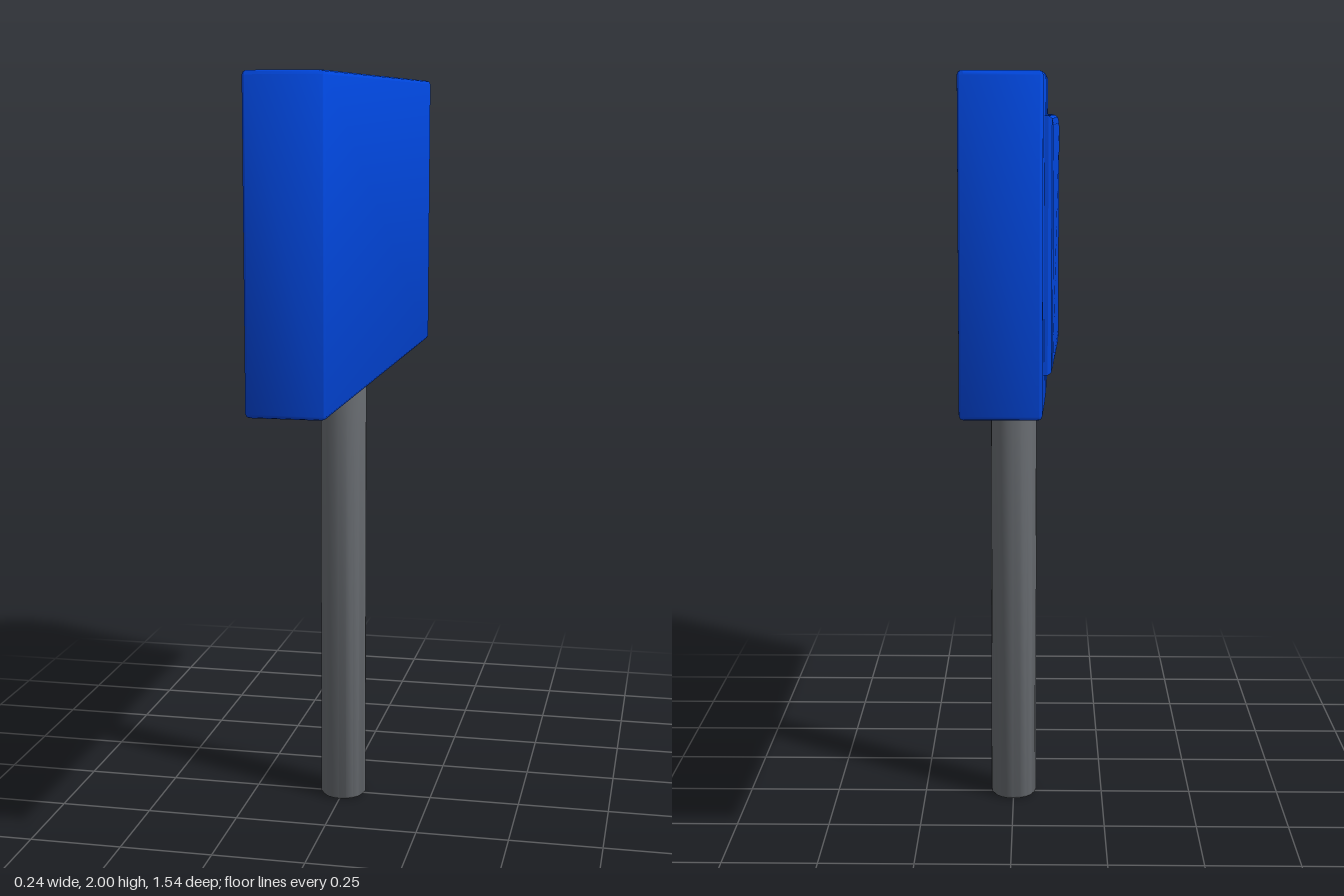
import * as THREE from 'three';
import { toCreasedNormals } from 'three/addons/utils/BufferGeometryUtils.js';

const blue = new THREE.MeshStandardMaterial({ name: 'signBlue', color: 0x0047df });
const grey = new THREE.MeshStandardMaterial({ name: 'postGrey', color: 0x6b6f74 });

function add(group, name, geometry, material) {
  const mesh = new THREE.Mesh(geometry, material);
  mesh.name = name;
  group.add(mesh);
  return mesh;
}

// Thick sign board: plan outline with softened corners and a slightly bowed -x face
function boardGeometry() {
  const r = 0.015, x0 = -0.078, x1 = 0.115, z = 0.77;
  const plan = new THREE.Shape();
  plan.moveTo(x0 + r, -z);
  plan.lineTo(x1 - r, -z);
  plan.quadraticCurveTo(x1, -z, x1, -z + r);
  plan.lineTo(x1, z - r);
  plan.quadraticCurveTo(x1, z, x1 - r, z);
  plan.lineTo(x0 + r, z);
  plan.quadraticCurveTo(x0, z, x0, z - r);
  plan.quadraticCurveTo(x0 - 0.025, 0, x0, -z + r);
  plan.quadraticCurveTo(x0, -z, x0 + r, -z);
  const bevel = 0.01;
  const geo = new THREE.ExtrudeGeometry(plan, {
    depth: 0.79 - 2 * bevel, bevelThickness: bevel, bevelSize: bevel,
    bevelOffset: -bevel, bevelSegments: 2, curveSegments: 8,
  });
  geo.rotateX(-Math.PI / 2).translate(0, 1.21 + bevel, 0);
  return toCreasedNormals(geo, 0.8);
}

// Raised panel with a curved inner edge, thinning towards its outer edge
function panelGeometry(side) {
  const outline = new THREE.Shape();
  outline.moveTo(side * 0.66, 1.3);
  outline.lineTo(side * 0.66, 1.9);
  outline.lineTo(side * 0.16, 1.9);
  outline.quadraticCurveTo(side * -0.09, 1.6, side * 0.16, 1.3);
  outline.closePath();
  const geo = new THREE.ExtrudeGeometry(outline, {
    depth: 0.04, bevelThickness: 0.012, bevelSize: 0.02,
    bevelOffset: -0.02, bevelSegments: 2, curveSegments: 16,
  });
  geo.rotateY(-Math.PI / 2).translate(-0.068, 0, 0);
  const p = geo.attributes.position;
  for (let i = 0; i < p.count; i++) {
    const t = THREE.MathUtils.clamp((Math.abs(p.getZ(i)) - 0.15) / 0.5, 0, 1);
    if (p.getX(i) < -0.1) p.setX(i, p.getX(i) + 0.018 * t);
  }
  return toCreasedNormals(geo, 0.6);
}

// Small triangular brace in the corner between post and board
function braceGeometry() {
  const tri = new THREE.Shape();
  tri.moveTo(0.04, 1.22);
  tri.lineTo(0.04, 1.15);
  tri.lineTo(0.15, 1.21);
  tri.lineTo(0.15, 1.22);
  tri.closePath();
  const geo = new THREE.ExtrudeGeometry(tri, { depth: 0.04, bevelEnabled: false });
  return geo.translate(0, 0, -0.02).rotateY(Math.PI / 3);
}

export function createModel() {
  const model = new THREE.Group();
  model.name = 'signpost';

  add(model, 'board', boardGeometry(), blue);
  add(model, 'rearPanel', panelGeometry(-1), blue);
  add(model, 'frontPanel', panelGeometry(1), blue);

  // Round post with a slightly softened foot
  const profile = [[0, 0], [0.058, 0], [0.063, 0.006], [0.063, 1.22]]
    .map(([x, y]) => new THREE.Vector2(x, y));
  add(model, 'post', toCreasedNormals(new THREE.LatheGeometry(profile, 20), 0.7), grey);
  add(model, 'brace', braceGeometry(), blue);
  return model;
}
